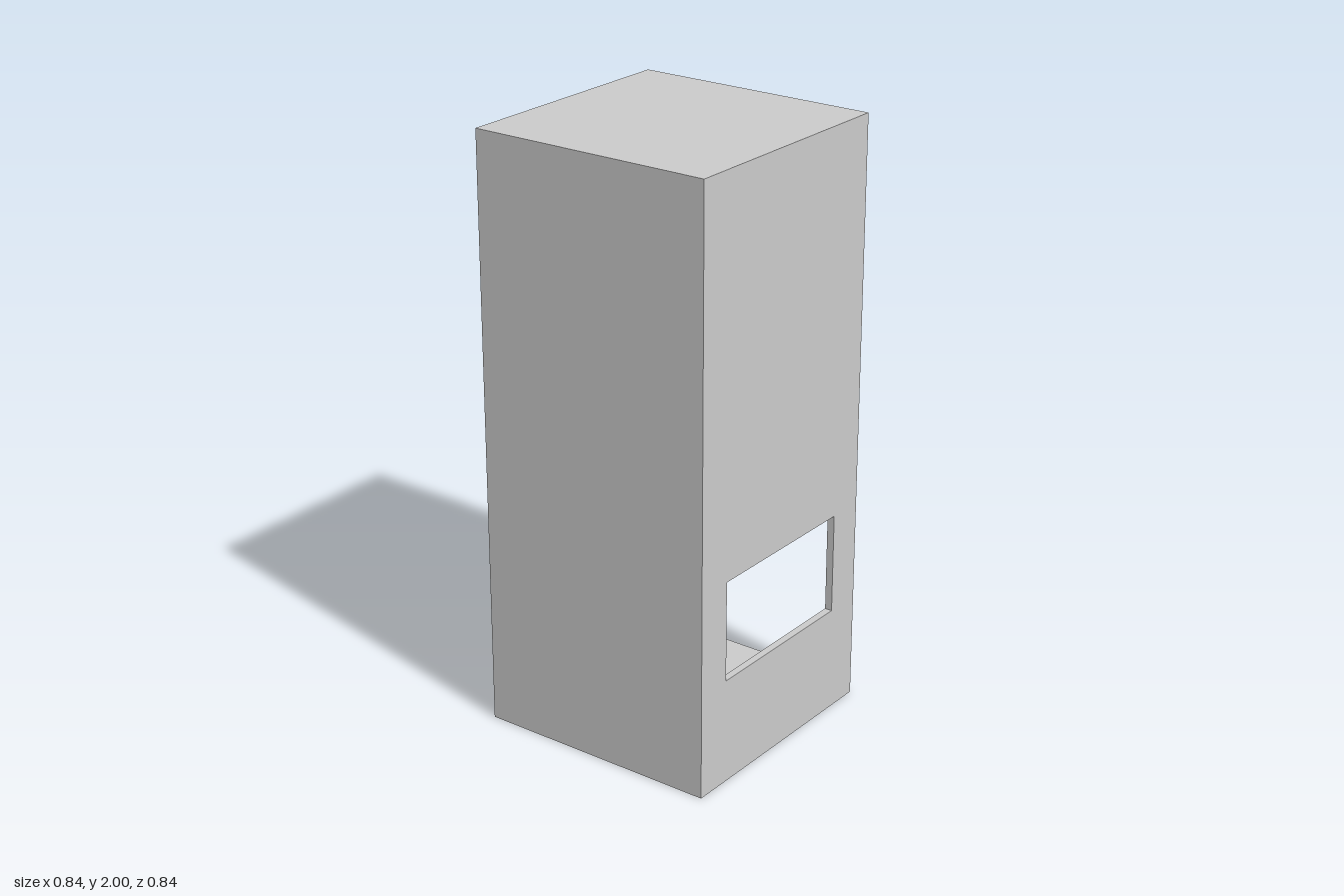
import * as THREE from 'three';

const HALF = 0.421;   // half width and half depth
const HEIGHT = 2;
const INNER = 0.396;  // half depth of the chamber

const material = new THREE.MeshStandardMaterial({ color: 0xcccccc, flatShading: true });

const corners = (pairs) => pairs.map(([x, y]) => new THREE.Vector2(x, y));
const rect = (x0, y0, x1, y1) => corners([[x0, y0], [x1, y0], [x1, y1], [x0, y1]]);

// Extrudes an x-y outline from z0 to z1
function slab(name, shape, z0, z1) {
  const geometry = new THREE.ExtrudeGeometry(shape, { depth: z1 - z0, bevelEnabled: false });
  geometry.translate(0, 0, z0);
  const mesh = new THREE.Mesh(geometry, material);
  mesh.name = name;
  return mesh;
}

export function createModel() {
  const group = new THREE.Group();
  group.name = 'tower';

  // Front and back walls, each with a window
  const wall = new THREE.Shape(rect(-HALF, 0, HALF, HEIGHT));
  wall.holes.push(new THREE.Path(rect(-0.294, 0.358, 0.293, 0.697)));
  group.add(slab('frontWall', wall, INNER, HALF));
  group.add(slab('backWall', wall, -HALF, -INNER));

  // Core: floor, right wall and solid upper block around a chamber open on the left
  const floorY = 0.035, ceilingY = 1.02, wallX = -HALF + 0.062;
  const core = new THREE.Shape(corners([
    [-HALF, 0], [HALF, 0], [HALF, floorY], [wallX, floorY],
    [wallX, ceilingY], [HALF, ceilingY], [HALF, HEIGHT], [-HALF, HEIGHT],
  ]));
  group.add(slab('core', core, -INNER, INNER));

  return group;
}
